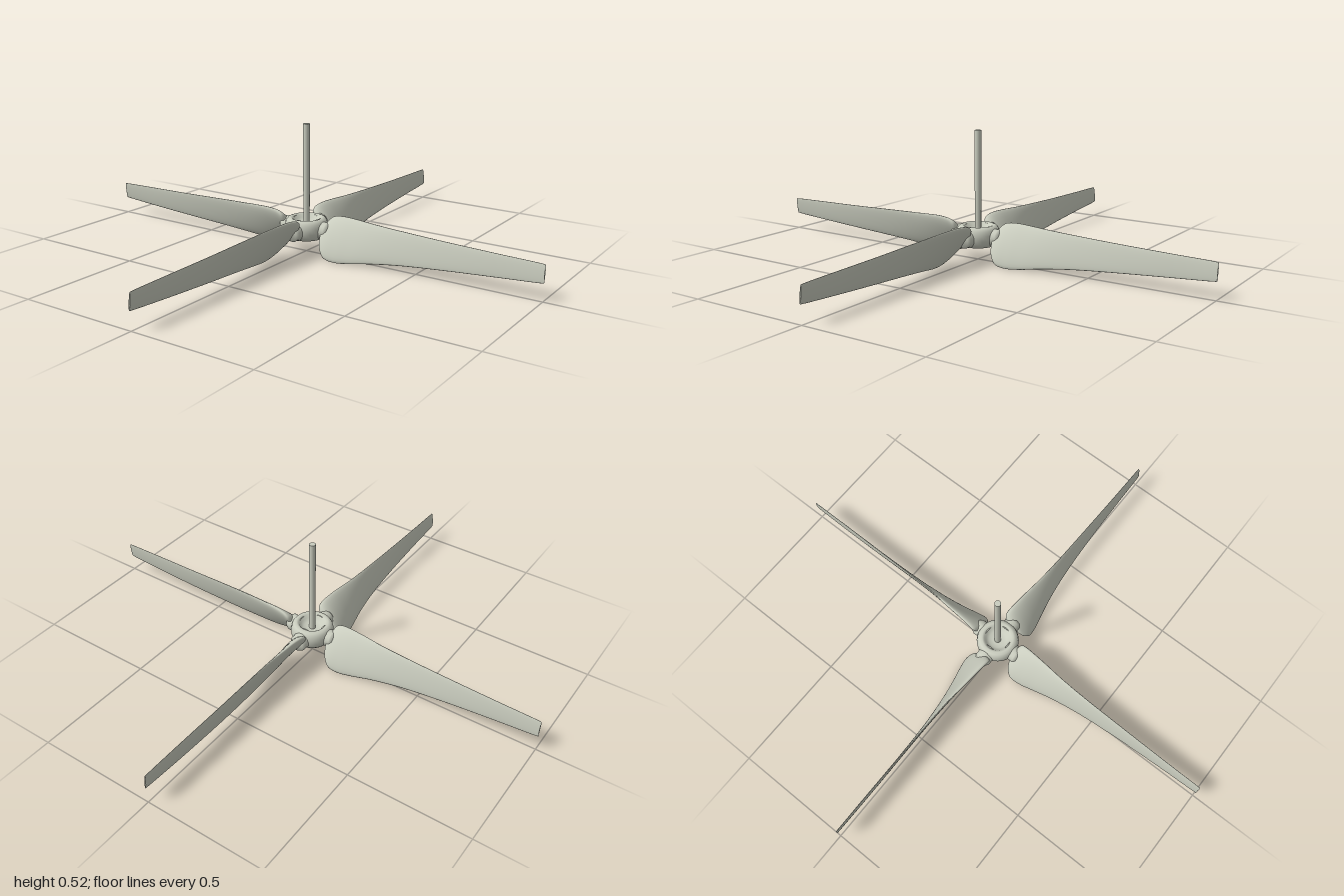
import * as THREE from 'three';

// blade stations: x, upper edge y and z, lower edge y and z, half thickness
const STATIONS = [
  [0.088, 0.125, -0.022, 0.075, 0.035, 0.014],
  [0.1, 0.147, -0.034, 0.045, 0.056, 0.019],
  [0.125, 0.16, -0.034, 0.014, 0.07, 0.02],
  [0.17, 0.165, -0.03, 0.002, 0.066, 0.018],
  [0.23, 0.164, -0.025, 0.004, 0.053, 0.015],
  [0.32, 0.16, -0.017, 0.016, 0.036, 0.011],
  [0.45, 0.155, -0.012, 0.03, 0.021, 0.007],
  [0.62, 0.149, -0.009, 0.043, 0.011, 0.005],
  [0.82, 0.144, -0.006, 0.057, 0.005, 0.004],
  [0.985, 0.14, -0.005, 0.069, 0.003, 0.003],
  [1.0, 0.135, -0.004, 0.074, 0.002, 0.003],
];

// twisted, tapering blade along +x, lofted from thin oval sections
function bladeGeometry(steps = 60, sides = 28) {
  const spline = (f) => new THREE.CatmullRomCurve3(STATIONS.map(f), false, 'catmullrom', 0.5);
  const upper = spline((s) => new THREE.Vector3(s[0], s[1], s[2]));
  const lower = spline((s) => new THREE.Vector3(s[0], s[3], s[4]));
  const thick = spline((s) => new THREE.Vector3(s[0], s[5], 0));
  const pos = [], index = [];
  const ring = (u) => {
    const a = upper.getPoint(u), b = lower.getPoint(u);
    const mid = a.clone().add(b).multiplyScalar(0.5);
    const half = a.clone().sub(mid);
    const normal = new THREE.Vector3(0, -half.z, half.y).normalize().multiplyScalar(thick.getPoint(u).y);
    for (let j = 0; j < sides; j++) {
      const t = (j / sides) * Math.PI * 2;
      const p = mid.clone().addScaledVector(half, Math.cos(t)).addScaledVector(normal, Math.sin(t));
      pos.push(p.x, p.y, p.z);
    }
    return mid;
  };
  for (let i = 0; i <= steps; i++) ring(i / steps);
  for (let i = 0; i < steps; i++) {
    for (let j = 0; j < sides; j++) {
      const k = (j + 1) % sides;
      const a = i * sides + j, b = i * sides + k;
      index.push(a, b, a + sides, b, b + sides, a + sides);
    }
  }
  // end caps with their own corners so the cut ends stay sharp
  for (const u of [0, 1]) {
    const start = pos.length / 3;
    const mid = ring(u);
    pos.push(mid.x, mid.y, mid.z);
    for (let j = 0; j < sides; j++) {
      const a = start + j, b = start + ((j + 1) % sides);
      index.push(start + sides, ...(u ? [a, b] : [b, a]));
    }
  }
  const g = new THREE.BufferGeometry();
  g.setAttribute('position', new THREE.Float32BufferAttribute(pos, 3));
  g.setIndex(index);
  g.computeVertexNormals();
  return g;
}

const lathe = (pts, n) => new THREE.LatheGeometry(pts.map(([r, y]) => new THREE.Vector2(r, y)), n);

export function createModel() {
  const model = new THREE.Group();
  model.name = 'propeller';
  const metal = new THREE.MeshStandardMaterial({ color: 0xc9ccbe });
  metal.name = 'pale grey metal';

  const add = (parent, name, geometry) => {
    const mesh = new THREE.Mesh(geometry, metal);
    mesh.name = name;
    parent.add(mesh);
    return mesh;
  };

  // rounded hub with a dished top
  add(model, 'hub', lathe([
    [0, 0.066], [0.035, 0.066], [0.052, 0.06], [0.068, 0.062], [0.08, 0.074], [0.086, 0.092],
    [0.087, 0.112], [0.083, 0.13], [0.075, 0.141], [0.064, 0.145], [0.055, 0.141],
    [0.048, 0.129], [0.036, 0.12], [0.02, 0.117], [0, 0.117],
  ], 48));

  // upright drive shaft
  const shaft = add(model, 'shaft', new THREE.CylinderGeometry(0.013, 0.013, 0.425, 20));
  shaft.position.y = 0.3125;

  // four blades, each with a flared root socket
  const blade = bladeGeometry();
  const socket = lathe([
    [0.042, 0.05], [0.038, 0.07], [0.034, 0.085], [0.035, 0.1], [0.028, 0.112], [0, 0.12],
  ], 28);
  for (let i = 0; i < 4; i++) {
    const arm = new THREE.Group();
    arm.name = 'bladeArm' + (i + 1);
    arm.rotation.y = (i * Math.PI) / 2;
    add(arm, 'blade', blade);
    const root = add(arm, 'bladeRoot', socket);
    root.rotation.z = -Math.PI / 2;
    root.position.y = 0.1;
    model.add(arm);
  }
  return model;
}
